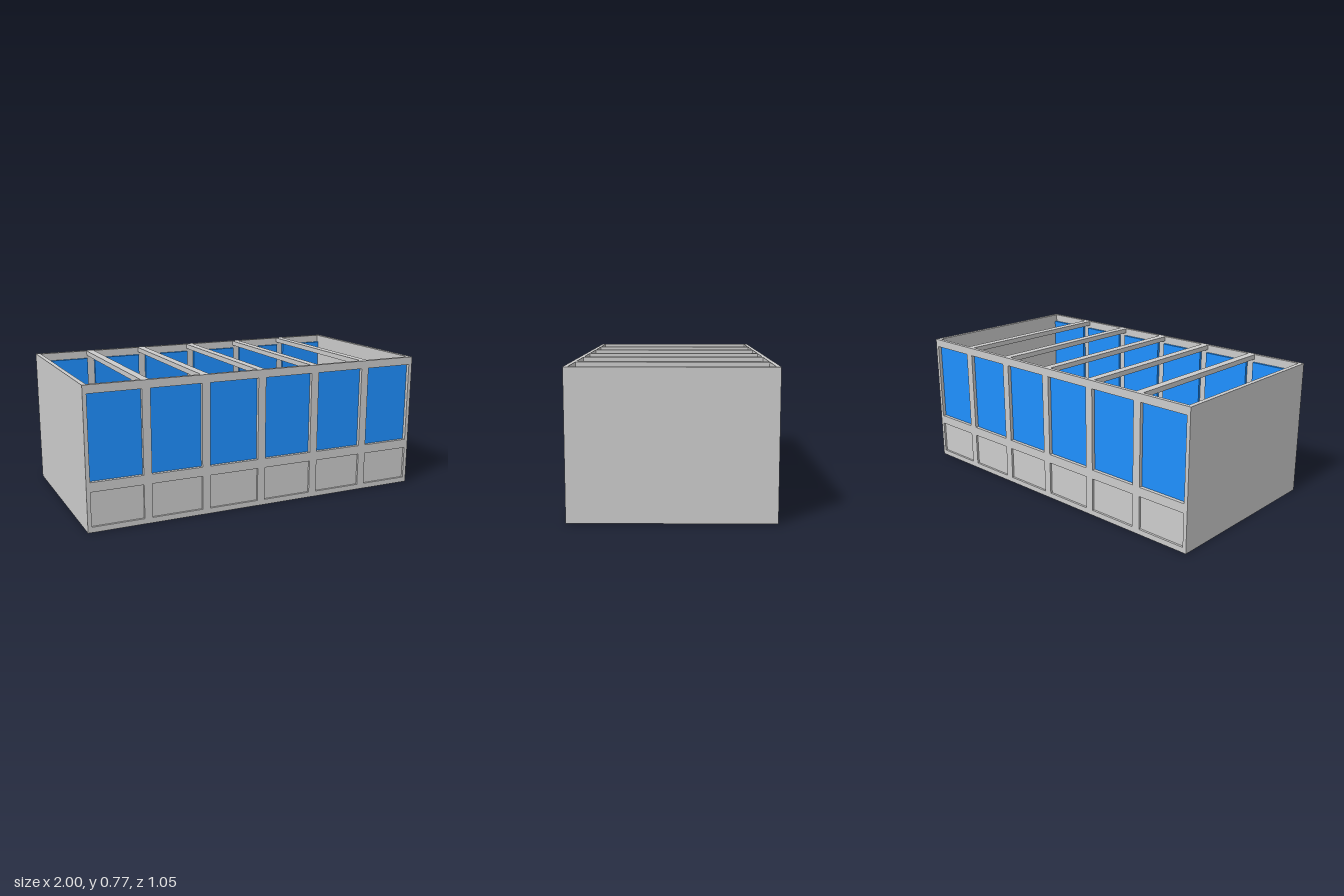
import * as THREE from 'three';

const W = 2, H = 0.775, D = 1.05;
const WALL = 0.022;          // thickness of the framed long walls
const BAYS = 6, PITCH = 0.334, OPEN = 0.288;

export function createModel() {
  const model = new THREE.Group();
  const grey = new THREE.MeshStandardMaterial({ color: 0xcccccc });
  const blue = new THREE.MeshStandardMaterial({ color: 0x1e90ff });

  const box = (parent, name, material, size, position) => {
    const mesh = new THREE.Mesh(new THREE.BoxGeometry(...size), material);
    mesh.name = name;
    mesh.position.set(...position);
    parent.add(mesh);
  };
  const bayX = (i) => (i - (BAYS - 1) / 2) * PITCH;
  const rect = (Type, x0, y0, x1, y1) => new Type([
    [x0, y0], [x1, y0], [x1, y1], [x0, y1],
  ].map(([x, y]) => new THREE.Vector2(x, y)));

  // Frame with a row of windows over a row of lower panels
  const frameShape = rect(THREE.Shape, -W / 2, 0, W / 2, H);
  for (let i = 0; i < BAYS; i++) {
    for (const [y0, y1] of [[0.03, 0.218], [0.27, 0.73]]) {
      frameShape.holes.push(rect(THREE.Path, bayX(i) - OPEN / 2, y0, bayX(i) + OPEN / 2, y1));
    }
  }
  const frameGeometry = new THREE.ExtrudeGeometry(frameShape, { depth: WALL, bevelEnabled: false });

  // Long walls, front and back
  for (const [name, turn] of [['frontWall', 0], ['backWall', Math.PI]]) {
    const wall = new THREE.Group();
    wall.name = name;
    wall.rotation.y = turn;
    const frame = new THREE.Mesh(frameGeometry, grey);
    frame.name = 'wallFrame';
    frame.position.z = D / 2 - WALL;
    wall.add(frame);
    for (let i = 0; i < BAYS; i++) {
      box(wall, 'windowPane', blue, [OPEN, 0.46, 0.018], [bayX(i), 0.5, 0.496]);
      box(wall, 'lowerPanel', grey, [OPEN, 0.188, 0.01], [bayX(i), 0.124, 0.508]);
    }
    model.add(wall);
  }

  // Solid end walls
  const inner = D - 2 * WALL;
  for (const [name, side] of [['leftEndWall', 1], ['rightEndWall', -1]]) {
    box(model, name, grey, [0.025, H, inner], [side * (W / 2 - 0.0125), H / 2, 0]);
  }

  // Roof beams between the bays
  for (let i = 0; i < BAYS - 1; i++) {
    box(model, 'roofBeam', grey, [PITCH - OPEN, 0.028, inner], [bayX(i + 0.5), H - 0.014, 0]);
  }
  return model;
}
